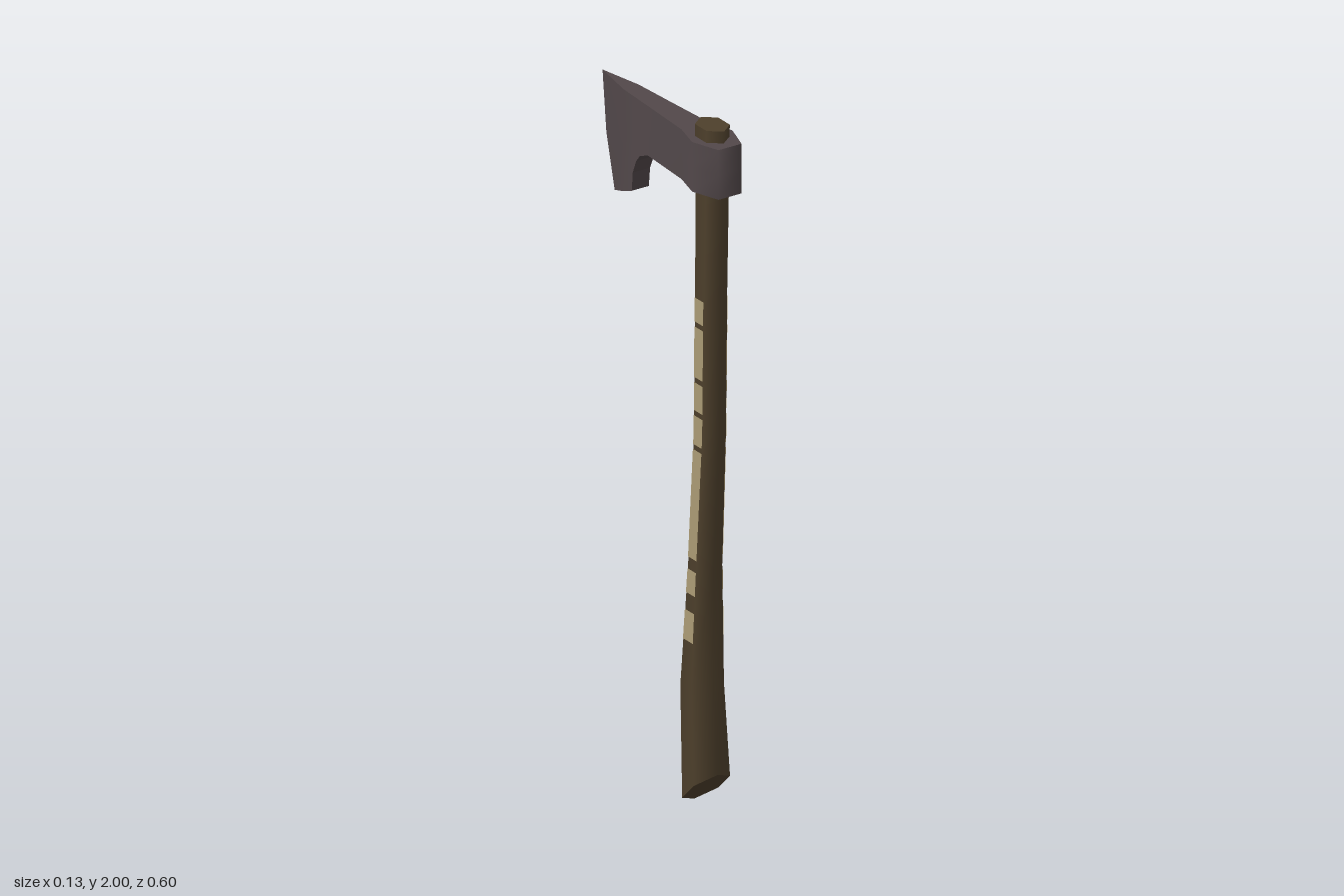
import * as THREE from 'three';

// Skin rows of points into a surface; flat gives hard facets
function loft(rows, closed, flat) {
  const n = rows[0].length, idx = [];
  for (let r = 0; r < rows.length - 1; r++) {
    for (let i = 0; i < (closed ? n : n - 1); i++) {
      const j = (i + 1) % n, a = r * n + i, b = r * n + j;
      idx.push(a, b, b + n, a, b + n, a + n);
    }
  }
  let g = new THREE.BufferGeometry();
  g.setAttribute('position', new THREE.Float32BufferAttribute(rows.flat(2), 3));
  g.setIndex(idx);
  if (flat) g = g.toNonIndexed();
  g.computeVertexNormals();
  return g;
}

// Handle sections: y, centre z, half depth, half width, slope of the cut
const SECTIONS = [
  [0.055, 0.1875, 0.0555, 0.058, 1],
  [0.35, 0.169, 0.053, 0.052, 0],
  [0.7, 0.183, 0.041, 0.041, 0],
  [1.1, 0.206, 0.042, 0.037, 0],
  [1.5, 0.211, 0.043, 0.037, 0],
  [1.82, 0.217, 0.048, 0.037, 0],
  [2.0, 0.217, 0.056, 0.037, 0],
];

function sectionAt(y) {
  const k = SECTIONS.findIndex((s) => s[0] >= y);
  const a = SECTIONS[k - 1], b = SECTIONS[k], t = (y - a[0]) / (b[0] - a[0]);
  return a.map((v, i) => v + (b[i] - v) * t);
}

// Six-sided ring, pointed front and back, with flat left and right sides
const hexRing = ([y, zc, d, w, slope]) =>
  [[0, 1], [1, 0.5], [1, -0.5], [0, -1], [-1, -0.5], [-1, 0.5]]
    .map(([x, z]) => [x * w, y + slope * z * d, zc + z * d]);

// Head stations from cutting edge to poll: half width, then [y, z] of bottom, middle, top
const TOP = 1.965;
const station = (w, z, bottom) => [w, [bottom, z], [(bottom + TOP) / 2, z], [TOP, z]];
const HEAD = [
  [0, [1.635, -0.243], [1.79, -0.282], [TOP, -0.3]],
  station(0.025, -0.165, 1.667),
  station(0.0275, -0.122, 1.685),
  station(0.0278, -0.117, 1.74),
  station(0.0285, -0.1, 1.78),
  station(0.03, -0.08, 1.803),
  station(0.032, -0.04, 1.82),
  station(0.043, 0.135, 1.82),
  station(0.065, 0.217, 1.82),
  station(0.037, 0.3, 1.82),
];

export function createModel() {
  const wood = new THREE.MeshStandardMaterial({ color: 0x4e402c });
  wood.name = 'dark wood';
  const steel = new THREE.MeshStandardMaterial({ color: 0x52484a });
  steel.name = 'dark steel';
  const pale = new THREE.MeshStandardMaterial({ color: 0xaa9a74, side: THREE.DoubleSide });
  pale.name = 'pale inlay';

  const model = new THREE.Group();
  model.name = 'axe';
  const group = (name) => {
    const g = new THREE.Group();
    g.name = name;
    model.add(g);
    return g;
  };
  const add = (parent, name, geometry, material) => {
    const mesh = new THREE.Mesh(geometry, material);
    mesh.name = name;
    parent.add(mesh);
  };

  // Curved handle with its end faces
  const handle = group('handle');
  const rings = SECTIONS.map(hexRing);
  const centre = (s) => Array.from({ length: 6 }, () => [0, s[0], s[1]]);
  const last = SECTIONS.length - 1;
  add(handle, 'shaft', loft(rings, true, false), wood);
  add(handle, 'shaftTop', loft([rings[last], centre(SECTIONS[last])], true, true), wood);
  add(handle, 'shaftFoot', loft([centre(SECTIONS[0]), rings[0]], true, true), wood);

  // Axe head: cheeks wrap round the poll, closed above and below
  const head = group('axeHead');
  const side = (sign, row) => HEAD.map((s) => [sign * s[0], s[row][0], s[row][1]]);
  const wrap = [1, 2, 3].map((row) => [...side(-1, row), ...side(1, row).reverse()]);
  add(head, 'cheeks', loft(wrap, false, false), steel);
  add(head, 'headTop', loft([side(-1, 3), side(1, 3)], false, true), steel);
  add(head, 'headUnderside', loft([side(1, 1), side(-1, 1)], false, true), steel);

  // Worn inlay strips on both flat sides of the handle
  const inlay = group('inlayStrips');
  const strips = [[1.425, 1.495], [1.262, 1.41], [1.165, 1.247], [1.065, 1.15],
    [0.73, 1.05], [0.625, 0.695], [0.488, 0.575]];
  for (const sign of [-1, 1]) {
    for (const [y0, y1] of strips) {
      const rows = [];
      for (let i = 0; i <= 4; i++) {
        const [y, zc, d, w] = sectionAt(y0 + (y1 - y0) * i / 4);
        rows.push([1, -1].map((e) => [sign * (w + 0.002), y, zc + sign * e * d * 0.48]));
      }
      add(inlay, sign > 0 ? 'leftStrip' : 'rightStrip', loft(rows, false, false), pale);
    }
  }
  return model;
}
